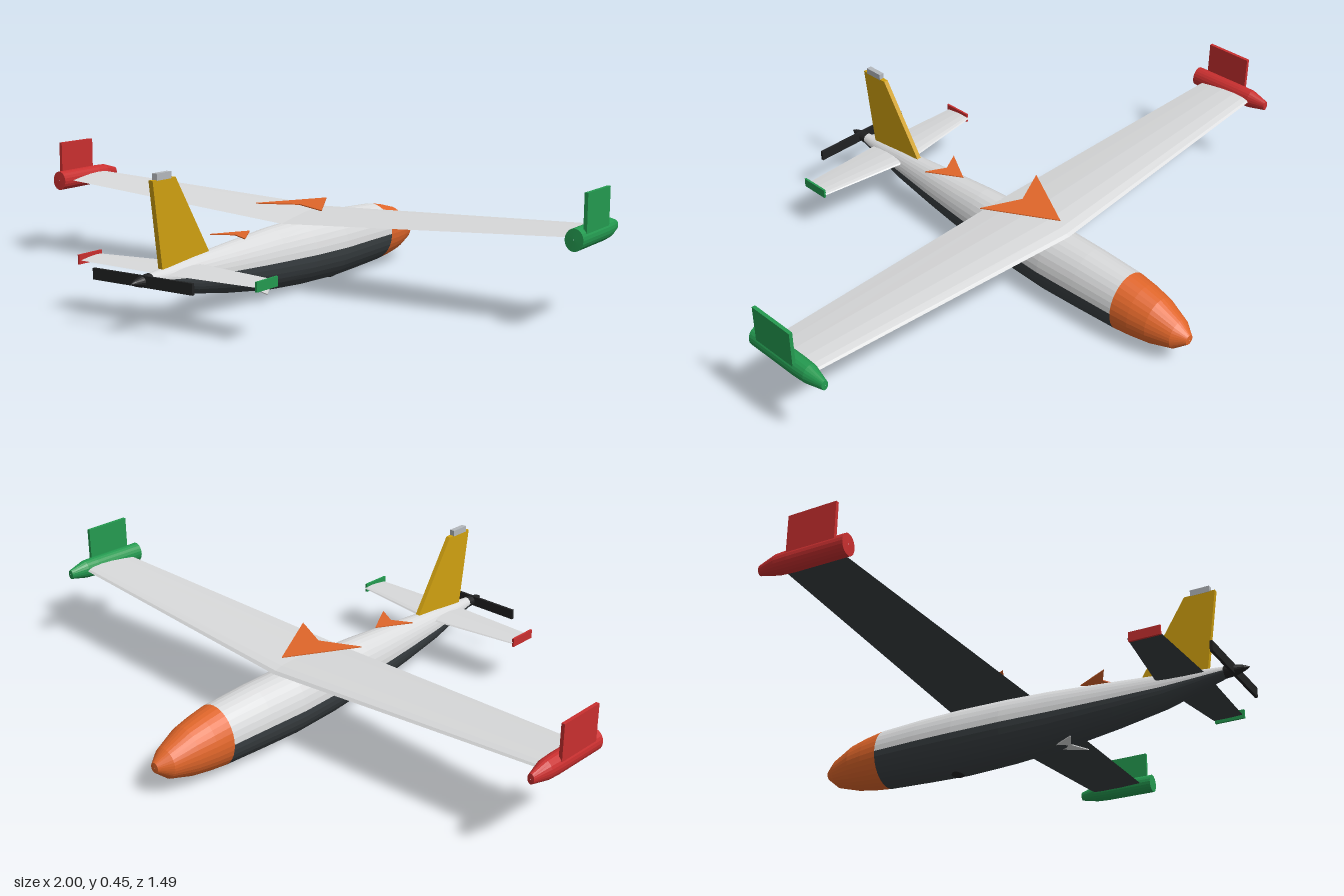
import * as THREE from 'three';

const mat = (name, color, side = THREE.FrontSide) => {
  const m = new THREE.MeshStandardMaterial({ color, side, flatShading: true });
  m.name = name;
  return m;
};

// Skins a list of cross-sections (each an array of [x, y, z] points)
function loft(rings) {
  const pos = [], index = [], n = rings[0].length;
  rings.forEach(r => r.forEach(p => pos.push(...p)));
  for (let i = 0; i < rings.length - 1; i++) {
    for (let j = 0; j < n - 1; j++) {
      const a = i * n + j, b = a + 1, c = a + n, d = c + 1;
      index.push(a, b, c, b, d, c);
    }
  }
  const g = new THREE.BufferGeometry();
  g.setAttribute('position', new THREE.Float32BufferAttribute(pos, 3));
  g.setIndex(index);
  g.computeVertexNormals();
  return g;
}

// Elliptical body along z from stations [z, bottom, top, halfWidth]
function body(stations, from, to, segments, cx = 0) {
  return loft(stations.map(([z, y0, y1, w]) => Array.from({ length: segments + 1 }, (_, j) => {
    const a = from + (to - from) * j / segments;
    return [cx + w * Math.cos(a), (y0 + y1) / 2 + (y1 - y0) / 2 * Math.sin(a), z];
  })));
}

// One skin of a symmetric wing; sections are [x, y, leadZ, trailZ, thickness]
function wingSkin(sections, upper) {
  const half = upper ? [[0, 0.35], [0.03, 0.65], [0.12, 0.9], [0.3, 1], [0.55, 0.85], [0.8, 0.5], [1, 0.15]]
    : [[1, 0.15], [0.6, 0], [0.25, 0], [0.06, 0.1], [0, 0.35]];
  const mirrored = sections.slice(1).reverse().map(([x, ...s]) => [-x, ...s]);
  return loft([...mirrored, ...sections].map(([x, y, z0, z1, t]) =>
    half.map(([u, v]) => [x, y + v * t, z0 + (z1 - z0) * u])));
}

const outline = points => new THREE.Shape(points.map(p => new THREE.Vector2(...p)));

// Upright plate from [z, y] corners, centred on x
const uprightPlate = (points, t) =>
  new THREE.ExtrudeGeometry(outline(points), { depth: t, bevelEnabled: false })
    .translate(0, 0, -t / 2).rotateY(-Math.PI / 2);

// Flat plate from [x, z] corners at height y
const flatPlate = (points, y, t = 0.003) =>
  new THREE.ExtrudeGeometry(outline(points), { depth: t, bevelEnabled: false })
    .rotateX(Math.PI / 2).translate(0, y + t / 2, 0);

export function createModel() {
  const model = new THREE.Group();
  model.name = 'aircraft';
  const white = mat('light grey', 0xd9dadb), dark = mat('dark grey', 0x3a4043);
  const black = mat('black', 0x202122), orange = mat('orange', 0xe0662a);
  const yellow = mat('yellow', 0xd0a010), cap = mat('silver', 0xb4b8bc);
  const green = mat('green', 0x249a50), red = mat('red', 0xc92f2f);
  const add = (name, geometry, material) => {
    const m = new THREE.Mesh(geometry, material);
    m.name = name;
    model.add(m);
    return m;
  };

  // Fuselage: orange nose, light upper half, dark belly
  const nose = [
    [-0.745, 0.1, 0.102, 0.001], [-0.744, 0.085, 0.118, 0.015], [-0.705, 0.052, 0.148, 0.045],
    [-0.63, 0.03, 0.185, 0.069], [-0.57, 0.021, 0.2, 0.079], [-0.51, 0.015, 0.211, 0.085]];
  const hull = [
    nose[5], [-0.36, 0.009, 0.219, 0.09], [-0.22, 0.005, 0.222, 0.093], [-0.05, 0.011, 0.221, 0.087],
    [0.1, 0.022, 0.217, 0.074], [0.2, 0.035, 0.21, 0.066], [0.32, 0.052, 0.202, 0.055],
    [0.48, 0.08, 0.19, 0.039], [0.58, 0.109, 0.18, 0.029], [0.675, 0.138, 0.172, 0.018]];
  add('noseCone', body(nose, 0, Math.PI * 2, 32), orange);
  add('fuselageTop', body(hull, 0, Math.PI, 16), white);
  add('fuselageBelly', body(hull, Math.PI, Math.PI * 2, 16), dark);

  // Belly sensor dome and marker
  const dome = add('bellyDome', new THREE.SphereGeometry(0.028, 16, 10), black);
  dome.scale.y = 0.6;
  dome.position.set(0, 0.017, -0.24);
  add('bellyMarker', flatPlate([[0, 0.085], [0.062, 0.19], [0, 0.16], [-0.062, 0.19]], 0.03), white);

  // Main wing with dihedral, and tailplane
  const wing = [[0, 0.214, -0.267, 0.026, 0.029], [0.955, 0.266, -0.23, -0.035, 0.018]];
  const tail = [[0, 0.158, 0.455, 0.612, 0.014], [0.323, 0.159, 0.502, 0.6, 0.009]];
  for (const [name, sections] of [['wing', wing], ['tailplane', tail]]) {
    add(name + 'Top', wingSkin(sections, true), white);
    add(name + 'Underside', wingSkin(sections, false), dark);
  }

  // Tip pods, winglets and tailplane end plates: green on the left, red on the right
  const pod = [
    [-0.286, 0.269, 0.271, 0.001], [-0.285, 0.254, 0.286, 0.011], [-0.225, 0.241, 0.303, 0.026],
    [-0.18, 0.238, 0.304, 0.028], [0.005, 0.236, 0.302, 0.028], [0.006, 0.269, 0.271, 0.001]];
  for (const [side, s, material] of [['left', 1, green], ['right', -1, red]]) {
    add(side + 'TipPod', body(pod, 0, Math.PI * 2, 20, s * 0.972), material);
    add(side + 'Winglet', uprightPlate([[-0.183, 0.28], [-0.025, 0.28], [-0.025, 0.4], [-0.183, 0.4]], 0.011), material)
      .position.x = s * 0.991;
    add(side + 'TailEndPlate', uprightPlate([[0.508, 0.149], [0.606, 0.149], [0.606, 0.178], [0.508, 0.178]], 0.007), material)
      .position.x = s * 0.323;
  }

  // Tail fin with cap
  add('tailFin', uprightPlate([[0.4, 0.185], [0.617, 0.165], [0.655, 0.432], [0.555, 0.432]], 0.015), yellow);
  add('finCap', uprightPlate([[0.575, 0.43], [0.638, 0.43], [0.638, 0.45], [0.575, 0.45]], 0.017), cap);

  // Arrow markers above the wing and rear fuselage
  add('wingArrow', flatPlate([[0, -0.23], [0.126, -0.01], [0, -0.07], [-0.126, -0.01]], 0.267), orange);
  add('rearArrow', flatPlate([[0, 0.195], [0.065, 0.307], [0, 0.272], [-0.065, 0.307]], 0.221), orange);

  // Pusher propeller and spinner
  const spinner = [
    [0.668, 0.136, 0.174, 0.019], [0.7, 0.138, 0.172, 0.018], [0.73, 0.147, 0.164, 0.009], [0.745, 0.155, 0.156, 0.001]];
  add('spinner', body(spinner, 0, Math.PI * 2, 16), black);
  add('propeller', new THREE.BoxGeometry(0.36, 0.033, 0.009).translate(0, 0.156, 0.697), black);
  return model;
}
